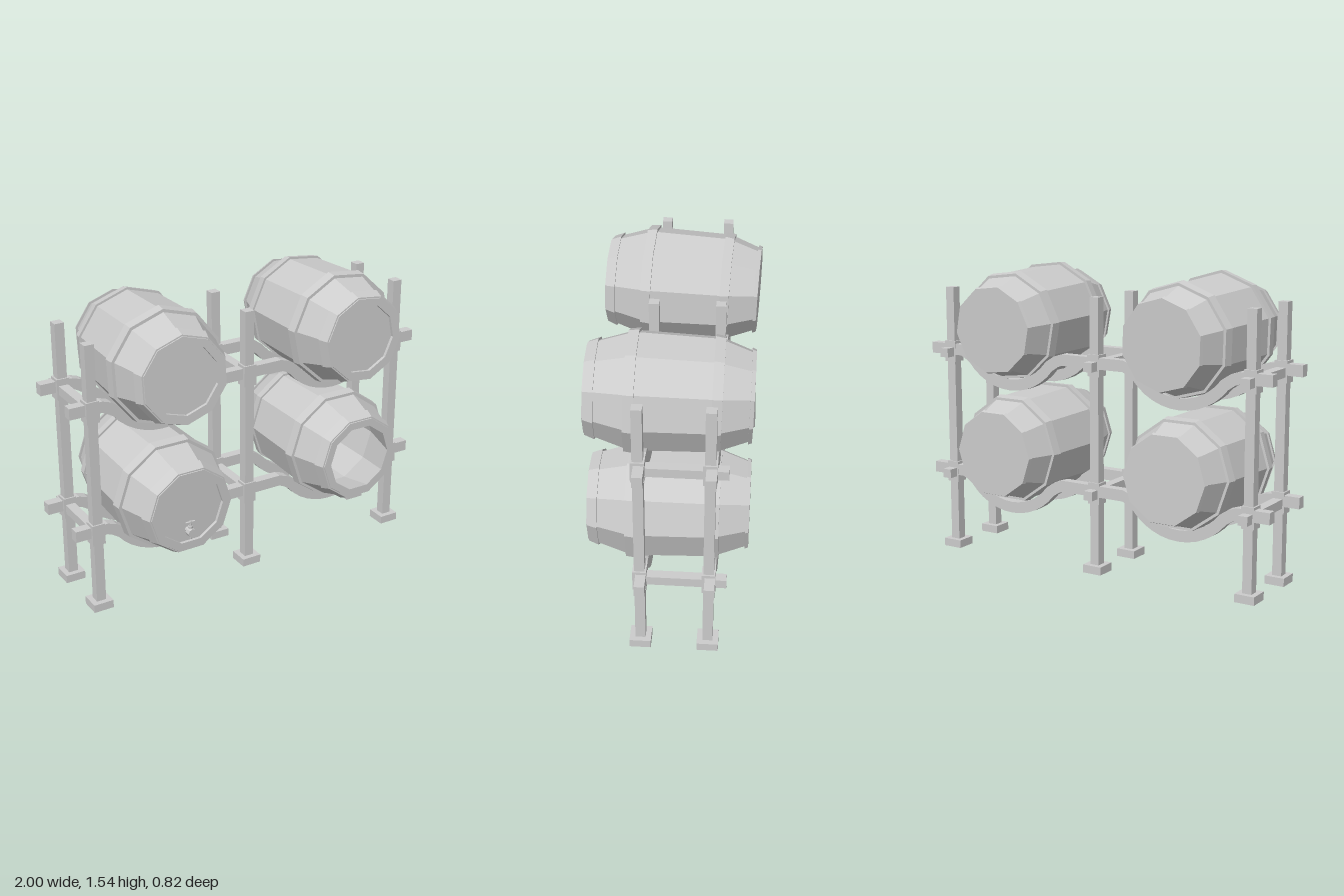
import * as THREE from 'three';

const SIDES = 10;
const grey = new THREE.MeshStandardMaterial({ color: 0xcccccc, flatShading: true });

function add(parent, name, geometry, x = 0, y = 0, z = 0) {
  const mesh = new THREE.Mesh(geometry, grey);
  mesh.name = name;
  mesh.position.set(x, y, z);
  parent.add(mesh);
  return mesh;
}

// Ten-sided turned shape about the z axis; points are [radius, z] from back to front
function turned(points) {
  const geometry = new THREE.LatheGeometry(points.map(([r, z]) => new THREE.Vector2(r, z)), SIDES);
  return geometry.rotateX(Math.PI / 2);
}

// Hoop following the taper between two [radius, z] points
function hoop([r0, z0], [r1, z1]) {
  return turned([[r0 - 0.025, z0], [r0, z0], [r1, z1], [r1 - 0.025, z1], [r0 - 0.025, z0]]);
}

function createBarrel({ name, x, y, facet, pitch, yaw, open }) {
  const barrel = new THREE.Group();
  barrel.name = name;
  barrel.position.set(x, y, 0);
  barrel.rotation.set(pitch, yaw, 0);

  const turnedParts = new THREE.Group();
  turnedParts.name = 'barrelBody';
  turnedParts.rotation.z = THREE.MathUtils.degToRad(facet - 18);
  barrel.add(turnedParts);

  // Staves, front rim, and either a recessed head or a hollow inside
  const outer = [[0, -0.405], [0.212, -0.405], [0.276, -0.235], [0.288, 0.16], [0.218, 0.378], [0.178, 0.378]];
  const inner = open
    ? [[0.24, 0.15], [0.235, -0.22], [0.178, -0.38], [0, -0.38]]
    : [[0.178, 0.362], [0, 0.362]];
  add(turnedParts, 'staves', turned([...outer, ...inner]));

  // Four hoops
  const hoops = [
    [[0.224, -0.405], [0.231, -0.387]],
    [[0.280, -0.262], [0.288, -0.215]],
    [[0.301, 0.137], [0.295, 0.187]],
    [[0.246, 0.325], [0.227, 0.374]],
  ];
  hoops.forEach(([back, front]) => add(turnedParts, 'hoop', hoop(back, front)));
  return barrel;
}

// Small tap with a T handle
function createTap() {
  const tap = new THREE.Group();
  tap.name = 'tap';
  add(tap, 'tapPipe', new THREE.CylinderGeometry(0.014, 0.014, 0.055, 8).rotateX(Math.PI / 2), 0, 0, 0.385);
  add(tap, 'tapCollar', new THREE.CylinderGeometry(0.022, 0.022, 0.03, 8).rotateX(Math.PI / 2), 0, 0, 0.398);
  add(tap, 'tapStem', new THREE.CylinderGeometry(0.006, 0.006, 0.05, 6), 0, 0.033, 0.392);
  add(tap, 'tapKnuckle', new THREE.CylinderGeometry(0.012, 0.012, 0.01, 6), 0, 0.026, 0.392);
  add(tap, 'tapHandle', new THREE.BoxGeometry(0.05, 0.008, 0.01), 0, 0.052, 0.392);
  add(tap, 'tapSpout', new THREE.CylinderGeometry(0.008, 0.006, 0.02, 6), 0, -0.026, 0.398);
  return tap;
}

// Rail with a cradle dipping under each barrel, as a band of constant width
function railGeometry(cradles, drop) {
  const path = [new THREE.Vector2(-1, 0)];
  const radius = 0.31, half = 0.029, steps = 12, sweep = 0.90;
  cradles.forEach((cx) => {
    path.push(new THREE.Vector2(cx - 0.32, 0), new THREE.Vector2(cx - 0.285, -0.012));
    for (let i = 0; i <= steps; i++) {
      const a = -sweep + (2 * sweep * i) / steps;
      path.push(new THREE.Vector2(cx + radius * Math.sin(a), drop - radius * Math.cos(a)));
    }
    path.push(new THREE.Vector2(cx + 0.285, -0.012), new THREE.Vector2(cx + 0.32, 0));
  });
  path.push(new THREE.Vector2(1, 0));

  const top = [], bottom = [];
  path.forEach((p, i) => {
    const before = path[Math.max(i - 1, 0)], after = path[Math.min(i + 1, path.length - 1)];
    const t = after.clone().sub(before).normalize();
    const n = new THREE.Vector2(-t.y, t.x).multiplyScalar(half);
    if (i === 0 || i === path.length - 1) n.set(0, half);
    top.push(p.clone().add(n));
    bottom.push(p.clone().sub(n));
  });
  const shape = new THREE.Shape([...bottom, ...top.reverse()]);
  return new THREE.ExtrudeGeometry(shape, { depth: 0.05, bevelEnabled: false }).translate(0, 0, -0.025);
}

export function createModel() {
  const model = new THREE.Group();
  model.name = 'barrelRack';

  const rack = new THREE.Group();
  rack.name = 'rack';
  model.add(rack);
  const postX = [-0.885, -0.02, 0.88];
  const postZ = [0.105, -0.225];
  const levels = [0.43, 1.083];

  // Posts, feet and joint blocks
  for (const x of postX) {
    for (const z of postZ) {
      add(rack, 'post', new THREE.BoxGeometry(0.05, 1.39, 0.05), x, 0.715, z);
      add(rack, 'foot', new THREE.BoxGeometry(0.105, 0.042, 0.105), x, 0.021, z);
      for (const y of levels) {
        add(rack, 'joint', new THREE.BoxGeometry(0.068, 0.11, 0.066), x, y - 0.012, z);
      }
    }
    // Bars from front to back
    for (const y of levels) {
      add(rack, 'crossbar', new THREE.BoxGeometry(0.05, 0.047, 0.44), x, y - 0.014, -0.09);
    }
  }

  // Cradle rails
  for (const y of levels) {
    const geometry = railGeometry([-0.51, 0.49], 0.153);
    for (const z of postZ) add(rack, 'cradleRail', geometry, 0, y, z - 0.007);
  }

  // Barrels, each turned a little differently
  const barrels = [
    { name: 'upperRightBarrel', x: -0.507, y: 1.235, facet: 20, pitch: -0.02, yaw: -0.04 },
    { name: 'upperLeftBarrel', x: 0.495, y: 1.235, facet: 29, pitch: -0.02, yaw: 0.008 },
    { name: 'lowerRightBarrel', x: -0.505, y: 0.57, facet: 0, pitch: 0.035, yaw: 0.01 },
    { name: 'lowerLeftBarrel', x: 0.495, y: 0.588, facet: 0, pitch: 0, yaw: 0, open: true },
  ].map(createBarrel);
  model.add(...barrels);

  const tap = createTap();
  tap.position.set(-0.014, -0.105, 0);
  barrels[2].add(tap);

  return model;
}
